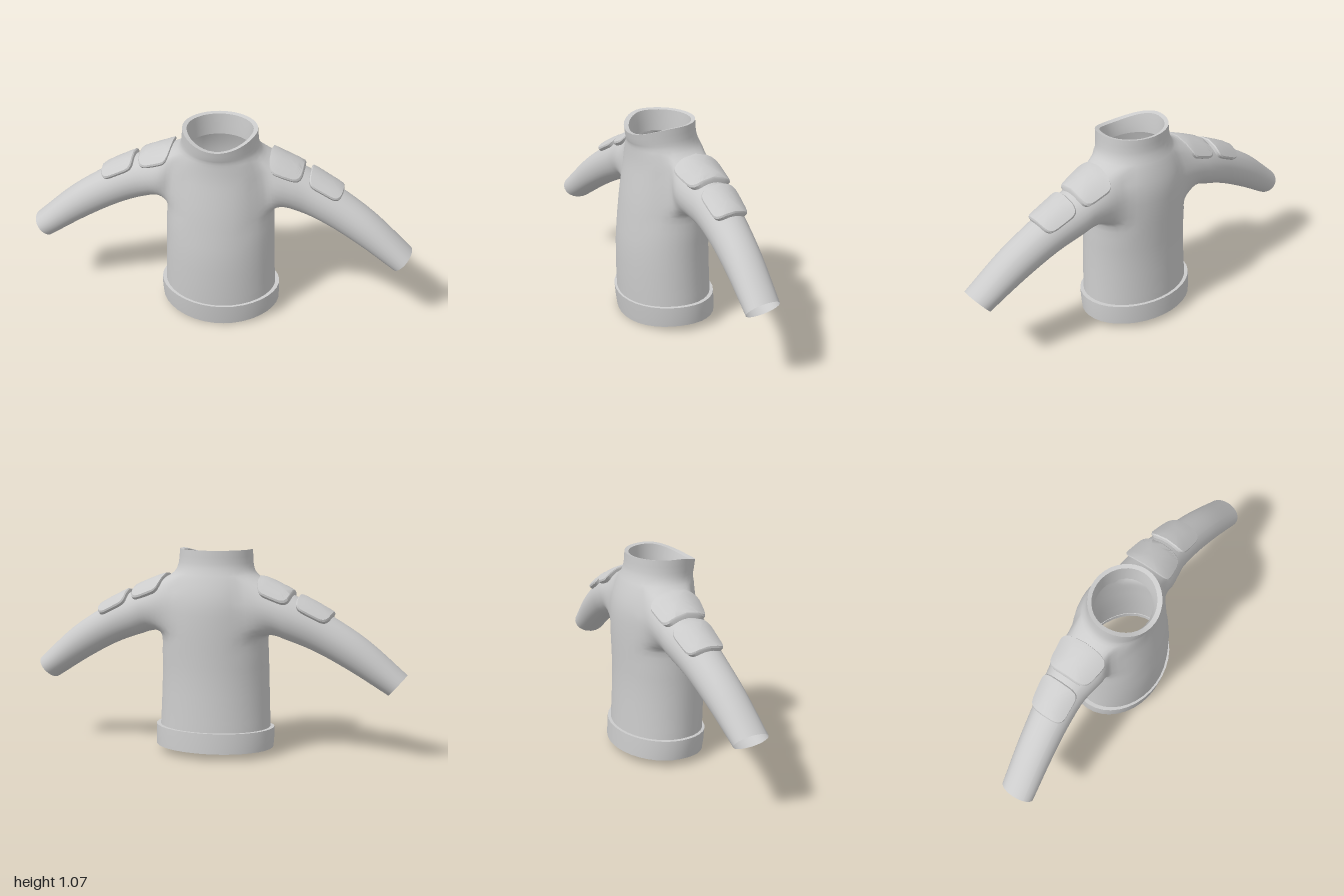
import * as THREE from 'three';
import { toCreasedNormals } from 'three/addons/utils/BufferGeometryUtils.js';

const V = (x, y, z) => new THREE.Vector3(x, y, z);
const SEG = 36;
const cloth = new THREE.MeshStandardMaterial({ color: 0xcccccc, side: THREE.DoubleSide });

// Body sections: height, half width, front z, back z, drop of the front edge
const BODY = [
  [0.135, 0.295, 0.235, -0.225, 0.02], [0.25, 0.29, 0.24, -0.22, 0.01],
  [0.4, 0.285, 0.241, -0.215, 0], [0.54, 0.283, 0.23, -0.218, 0],
  [0.63, 0.283, 0.221, -0.221, 0], [0.7, 0.28, 0.212, -0.222, 0],
  [0.78, 0.275, 0.2, -0.22, 0], [0.85, 0.262, 0.19, -0.208, 0],
  [0.92, 0.235, 0.186, -0.185, 0], [0.96, 0.206, 0.187, -0.168, 0.01],
  [1.0, 0.195, 0.194, -0.156, 0.03], [1.067, 0.19, 0.203, -0.152, 0.052],
];

// Sleeve sections: top x, y, bottom x, y, front z, back z (the first lies inside the shoulder)
const SLEEVE = [
  [0.2, 0.935, 0.29, 0.66, 0.13, -0.18], [0.3, 0.9, 0.315, 0.632, 0.12, -0.165],
  [0.45, 0.832, 0.41, 0.608, 0.09, -0.148], [0.62, 0.742, 0.54, 0.558, 0.088, -0.122],
  [0.8, 0.625, 0.715, 0.465, 0.1, -0.095], [1.0, 0.45, 0.91, 0.345, 0.118, -0.063],
];

// One point of a horizontal section; t = 0 is the front, a quarter turn is +x
function bodyPoint([y, w, f, b, drop], t) {
  const c = Math.cos(t);
  return V(w * Math.sin(t), y - drop * Math.max(0, c) ** 2, (f + b) / 2 + (f - b) / 2 * c);
}
const bodyRing = (s) => Array.from({ length: SEG }, (_, j) => bodyPoint(s, j / SEG * Math.PI * 2));

// One point of a sleeve section; a = 0 is the top, positive towards the front
function sleevePoint([tx, ty, bx, by, f, b], a) {
  const c = Math.cos(a);
  return V((tx + bx) / 2 + (tx - bx) / 2 * c, (ty + by) / 2 + (ty - by) / 2 * c,
    (f + b) / 2 + (f - b) / 2 * Math.sin(a));
}

function makeGeometry(points, index) {
  const g = new THREE.BufferGeometry().setFromPoints(points);
  g.setIndex(index);
  g.computeVertexNormals();
  return g;
}

// Skin over closed rings of equal length
function loft(rings) {
  const n = rings[0].length, index = [];
  for (let i = 0; i < rings.length - 1; i++) for (let j = 0; j < n; j++) {
    const k = (j + 1) % n, a = i * n, b = a + n;
    index.push(a + j, a + k, b + k, a + j, b + k, b + j);
  }
  return makeGeometry(rings.flat(), index);
}

function mesh(name, geometry, crease) {
  const m = new THREE.Mesh(crease ? toCreasedNormals(geometry, crease) : geometry, cloth);
  m.name = name;
  return m;
}

// Body with both sleeves grown out of its armholes as one welded skin
function bodyAndSleeves() {
  const rows = (BODY.length - 1) * 2 + 1;
  const shape = new THREE.CatmullRomCurve3(BODY.map((s) => V(s[1], s[2], s[3])));
  const level = new THREE.CatmullRomCurve3(BODY.map((s) => V(s[0], s[4], 0)));
  const pts = [], index = [];
  for (let i = 0; i < rows; i++) {
    const p = shape.getPoint(i / (rows - 1)), q = level.getPoint(i / (rows - 1));
    pts.push(...bodyRing([q.x, p.x, p.y, p.z, q.y]));
  }
  const quad = (a, b, c, d) => index.push(a, b, c, a, c, d);
  const at = (i, j) => i * SEG + j % SEG;
  const i0 = 8, i1 = 17, holes = [[6, 14, 1], [22, 30, -1]];
  for (let i = 0; i < rows - 1; i++) for (let j = 0; j < SEG; j++) {
    if (i >= i0 && i < i1 && holes.some(([a, b]) => j >= a && j < b)) continue;
    quad(at(i, j), at(i, j + 1), at(i + 1, j + 1), at(i + 1, j));
  }

  for (const [j0, j1, side] of holes) {
    // Armhole edge, counter-clockwise from outside
    const edge = [];
    for (let j = j0; j < j1; j++) edge.push(at(i0, j));
    for (let i = i0; i < i1; i++) edge.push(at(i, j1));
    for (let j = j1; j > j0; j--) edge.push(at(i1, j));
    for (let i = i1; i > i0; i--) edge.push(at(i, j0));
    const n = edge.length, steps = 20;
    const paths = edge.map((e) => {
      const p = pts[e], a = Math.atan2((p.z + 0.025) / 0.135, (p.y - 0.785) / 0.15);
      const line = SLEEVE.slice(1).map((s) => sleevePoint(s, a));
      line.forEach((q) => { q.x *= side; });
      return new THREE.CatmullRomCurve3([p.clone(), ...line]);
    });
    let last = edge;
    for (let r = 1; r <= steps; r++) {
      const ring = paths.map((c) => pts.push(c.getPoint(r / steps)) - 1);
      for (let k = 0; k < n; k++) {
        const m = (k + 1) % n;
        quad(last[k], last[m], ring[m], ring[k]);
      }
      last = ring;
    }
  }

  // Relax the skin around the armholes
  const near = pts.map(() => new Set());
  for (let i = 0; i < index.length; i += 3) for (let e = 0; e < 3; e++) {
    const a = index[i + e], b = index[i + (e + 1) % 3];
    near[a].add(b);
    near[b].add(a);
  }
  for (let pass = 0; pass < 3; pass++) {
    const old = pts.map((p) => p.clone());
    old.forEach((p, i) => {
      const x = Math.abs(p.x);
      if (x < 0.17 || x > 0.37 || p.y < 0.58 || p.y > 0.965) return;
      const mean = V(0, 0, 0);
      near[i].forEach((k) => mean.add(old[k]));
      pts[i].lerp(mean.divideScalar(near[i].size), 0.5);
    });
  }
  return makeGeometry(pts, index);
}

// Rounded plate that follows the sleeve between two section positions
function armPad(from, to, spread) {
  const curve = (a) => new THREE.CatmullRomCurve3(SLEEVE.map((s) => sleevePoint(s, a)));
  const axis = new THREE.CatmullRomCurve3(SLEEVE.map((s) =>
    V((s[0] + s[2]) / 2, (s[1] + s[3]) / 2, (s[4] + s[5]) / 2)));
  const round = (v) => Math.sign(v) * Math.abs(v) ** 0.42;
  const layers = [[1.03, -0.015], [1, 0.018], [0.94, 0.025], [0.65, 0.026], [0.3, 0.026], [0.001, 0.026]];
  return loft(layers.map(([r, h]) => Array.from({ length: 40 }, (_, k) => {
    const t = k / 40 * Math.PI * 2, across = -r * round(Math.sin(t));
    const s = (from + to) / 2 + (to - from) / 2 * r * round(Math.cos(t));
    const u = s / (SLEEVE.length - 1);
    const p = curve(across * spread - 0.06).getPoint(u);
    return p.add(p.clone().sub(axis.getPoint(u)).setLength(h));
  })));
}

export function createModel() {
  const model = new THREE.Group();
  model.name = 'pulloverTop';
  model.add(mesh('bodyAndSleeves', bodyAndSleeves()));

  // Raised band along the lower edge
  model.add(mesh('hemBand', loft([
    [0.038, 0.314, 0.232, -0.245, 0.036], [0.09, 0.317, 0.24, -0.243, 0.028],
    [0.143, 0.316, 0.246, -0.24, 0.024], [0.143, 0.29, 0.23, -0.222, 0.022],
  ].map(bodyRing)), 0.8));

  // Rim and inner wall of the collar
  model.add(mesh('collarLining', loft([
    [1.067, 0.19, 0.203, -0.152, 0.052], [1.062, 0.168, 0.178, -0.132, 0.05],
    [1.0, 0.16, 0.162, -0.127, 0.03], [0.95, 0.157, 0.157, -0.125, 0.01],
  ].map(bodyRing)), 0.8));

  // Two plates on each arm
  for (const side of [1, -1]) {
    const arm = new THREE.Group();
    arm.name = side > 0 ? 'leftArmPads' : 'rightArmPads';
    arm.add(mesh('shoulderPad', armPad(0.55, 1.84, 0.95), 0.6));
    arm.add(mesh('upperArmPad', armPad(2.04, 3.03, 0.9), 0.6));
    arm.scale.x = side;
    model.add(arm);
  }
  return model;
}
